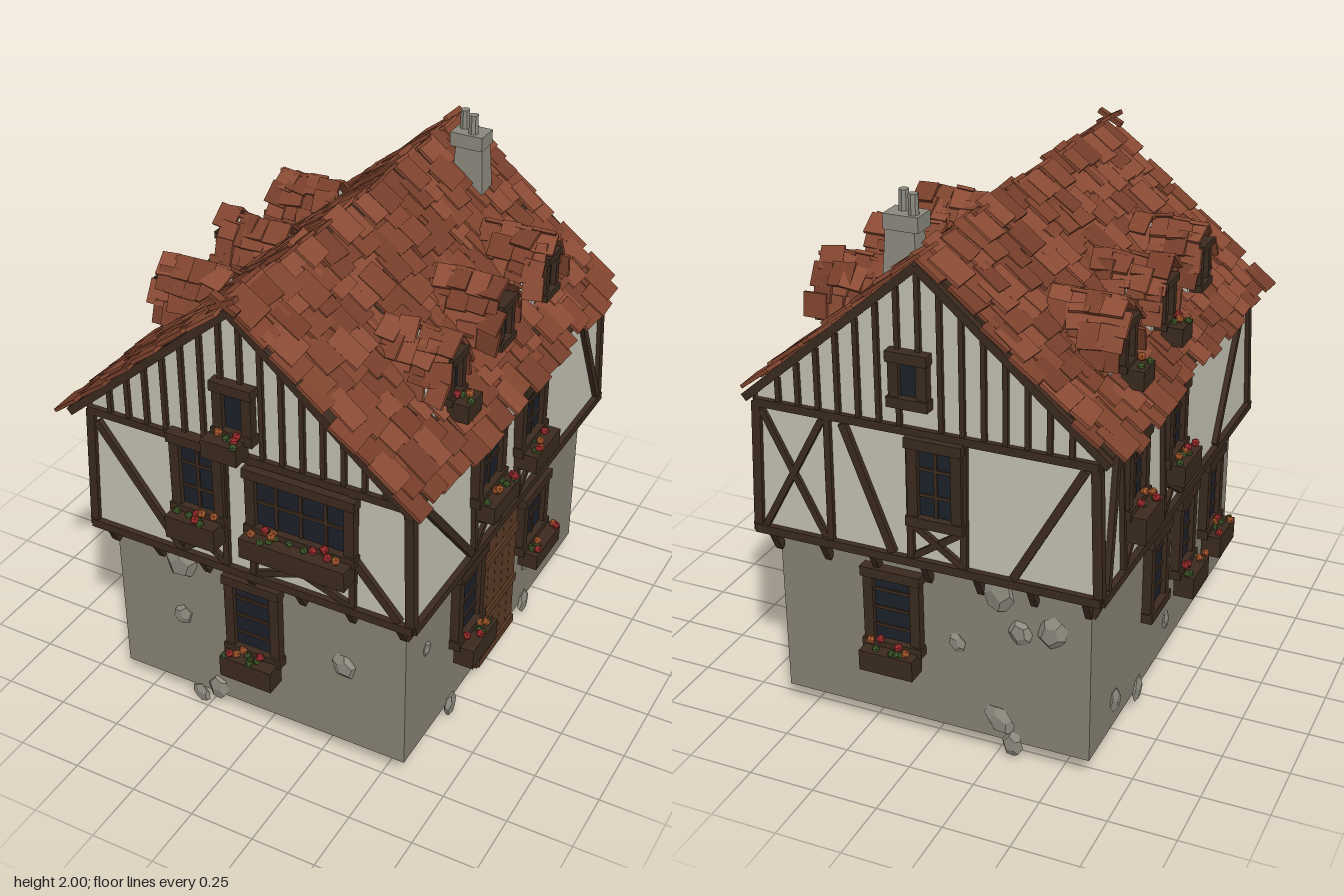
import * as THREE from 'three';
import { mergeGeometries } from 'three/addons/utils/BufferGeometryUtils.js';

const V = (x, y, z) => new THREE.Vector3(x, y, z);
const mat = (color, side = THREE.FrontSide) => new THREE.MeshStandardMaterial({ color, side, flatShading: true });
const M = {
  plaster: mat(0xc3c0b1, THREE.DoubleSide), masonry: mat(0x878274, THREE.DoubleSide), wood: mat(0x3b2a1e),
  door: mat(0x5a3a24), glass: mat(0x1c2129), rock: mat(0x8f8c80), chimney: mat(0x8b897e),
  leaf: mat(0x3f5a2a), red: mat(0xa02c2c), orange: mat(0xa8582c), tiles: [mat(0x80442e), mat(0x763e2a), mat(0x8c4c35)],
};
let seed = 7;
const rnd = (a = 0, b = 1) => {
  seed = (seed * 16807) % 2147483647;
  return a + (b - a) * seed / 2147483647;
};

// Wall outlines at each height: [left, right, back, front]
const LOW = [-0.61, 0.585, -0.815, 0.74], UP0 = [-0.655, 0.632, -0.865, 0.795], UP1 = [-0.635, 0.615, -0.855, 0.785];
const CX = -0.012, RIDGE = 1.85, SLOPE = 0.865, FLOOR = 0.77, EAVE = 1.26;
const SIDES = { front: [3, 0], back: [2, Math.PI], right: [1, Math.PI / 2], left: [0, -Math.PI / 2] };
const normal = (side) => V(0, 0, 1).applyAxisAngle(V(0, 1, 0), SIDES[side][1]);

// World point on a wall: u runs along world x (front, back) or z (left, right)
function onWall(side, u, y, out = 0) {
  const i = SIDES[side][0];
  const t = Math.min(1, (y - FLOOR) / (EAVE - FLOOR));
  const d = y < FLOOR - 0.03 ? LOW[i] : THREE.MathUtils.lerp(UP0[i], UP1[i], Math.max(0, t));
  return (i > 1 ? V(u, y, d) : V(d, y, u)).addScaledVector(normal(side), out);
}

export function createModel() {
  const root = new THREE.Group();
  root.name = 'house';
  const add = (parent, name, geo, material, x = 0, y = 0, z = 0) => {
    const m = new THREE.Mesh(geo, material);
    m.name = name;
    m.position.set(x, y, z);
    parent.add(m);
    return m;
  };
  const box = (parent, name, w, h, d, material, x, y, z) => add(parent, name, new THREE.BoxGeometry(w, h, d), material, x, y, z);
  const wallGroup = (name, side, u, y, out = 0) => {
    const g = new THREE.Group();
    g.name = name;
    g.position.copy(onWall(side, u, y, out));
    g.rotation.y = SIDES[side][1];
    root.add(g);
    return g;
  };
  // Timber from a to b, its depth along n
  const timber = (name, a, b, n, w = 0.03, d = 0.04, material = M.wood) => {
    const dir = b.clone().sub(a), len = dir.length();
    dir.normalize();
    const x = dir.clone().cross(n).normalize();
    const m = box(root, name, w, len, d, material, 0, 0, 0);
    m.quaternion.setFromRotationMatrix(new THREE.Matrix4().makeBasis(x, dir, x.clone().cross(dir)));
    m.position.copy(a).add(b).multiplyScalar(0.5);
  };
  const brace = (side, u0, y0, u1, y1, w, d) => timber('timber', onWall(side, u0, y0), onWall(side, u1, y1), normal(side), w, d);
  const cross = (side, u0, u1, y0, y1) => {
    brace(side, u0, y0, u1, y1, 0.024, 0.03);
    brace(side, u0, y1, u1, y0, 0.024, 0.034);
  };

  // Four walls between two outlines, open above and below
  const walls = (name, a, ya, b, yb, material) => {
    const ring = ([l, r, k, f], y) => [[l, y, f], [r, y, f], [r, y, k], [l, y, k]];
    const A = ring(a, ya), B = ring(b, yb), pos = [];
    for (let i = 0; i < 4; i++) {
      const j = (i + 1) % 4;
      for (const p of [A[i], A[j], B[j], A[i], B[j], B[i]]) pos.push(...p);
    }
    const g = new THREE.BufferGeometry();
    g.setAttribute('position', new THREE.Float32BufferAttribute(pos, 3));
    g.computeVertexNormals();
    add(root, name, g, material);
  };
  walls('lowerWalls', LOW, 0.08, LOW, 0.76, M.masonry);
  walls('overhang', LOW, 0.76, UP0, FLOOR, M.masonry);
  walls('upperWalls', UP0, FLOOR, UP1, EAVE, M.plaster);

  // Gables with studs that stop above the small window
  for (const side of ['front', 'back']) {
    const z = onWall(side, 0, EAVE).z, n = normal(side);
    const shape = new THREE.Shape([[-0.635, 1.26], [0.615, 1.26], [0.615, 1.3], [CX, RIDGE], [-0.635, 1.3]].map((p) => new THREE.Vector2(...p)));
    add(root, 'gable', new THREE.ShapeGeometry(shape), M.plaster, 0, 0, z);
    for (let i = -7; i <= 7; i++) {
      const x = CX + i * 0.077;
      timber('gableStud', V(x, i ? EAVE : 1.54, z), V(x, RIDGE - 0.02 - SLOPE * Math.abs(x - CX), z), n, 0.018, 0.03);
    }
    const zb = side === 'front' ? 0.845 : -0.865;
    for (const k of [-1, 1]) timber('bargeBoard', V(CX + k * 0.67, 1.27, zb), V(CX, RIDGE - 0.005, zb), n, 0.03, 0.025);
  }
  for (const k of [-1, 1]) timber('ridgeCross', V(CX + k * 0.05, 1.86, 0.865), V(CX - k * 0.045, 1.91, 0.865), V(0, 0, 1), 0.018, 0.03, M.tiles[1]);

  // Sill and top beams, corbels and corner posts
  for (const side in SIDES) {
    const [a, b] = SIDES[side][0] > 1 ? [UP0[0], UP0[1]] : [UP0[2], UP0[3]];
    brace(side, a - 0.01, FLOOR, b + 0.01, FLOOR, 0.032, 0.045);
    brace(side, a + 0.01, EAVE, b - 0.01, EAVE, 0.03, 0.04);
    const count = SIDES[side][0] > 1 ? 7 : 5;
    for (let i = 0; i < count; i++) {
      const u = THREE.MathUtils.lerp(a + 0.05, b - 0.05, i / (count - 1));
      timber('corbel', onWall(side, u, 0.675, 0.005), onWall(side, u, 0.765, 0), normal(side), 0.024, 0.028);
    }
  }
  for (const i of [0, 1]) for (const j of [2, 3]) {
    timber('cornerPost', V(UP0[i], FLOOR, UP0[j]), V(UP1[i], EAVE, UP1[j]), V(0, 0, 1), 0.034, 0.034);
  }

  // Diagonal braces, window posts and crosses of the upper storey
  const diagonals = {
    front: [[-0.61, 1.22, -0.28, 0.79], [0.42, 0.98, 0.59, 0.79]],
    right: [[0.73, 1.24, 0.35, 0.79], [-0.64, 1.24, -0.84, 0.79]],
    back: [[-0.6, 1.24, -0.35, 0.79], [0.28, 1.24, 0.1, 0.79]],
    left: [[0.7, 1.24, 0.35, 0.79], [-0.82, 0.79, -0.7, 1.24]],
  };
  const posts = { front: [-0.28, -0.09, 0.02, 0.41], right: [0.32, 0.115, -0.05, -0.25], back: [0.34, 0.03, -0.17], left: [-0.66, -0.46, -0.25, -0.05] };
  const crosses = { front: [[-0.28, -0.09], [0.02, 0.41]], right: [[0.32, 0.115], [-0.05, -0.25]], back: [[0.03, -0.17]], left: [[-0.66, -0.46], [-0.25, -0.05]] };
  for (const side in SIDES) {
    diagonals[side].forEach((d) => brace(side, ...d));
    posts[side].forEach((u) => brace(side, u, FLOOR, u, EAVE, 0.024, 0.036));
    crosses[side].forEach(([a, b]) => cross(side, a, b, 0.785, 0.92));
  }
  cross('back', 0.36, 0.6, 0.79, 1.24);

  // Window: frame, glass and glazing bars
  const makeWindow = (g, w, h, cols, rows, f = 0.038) => {
    box(g, 'glass', w - f, h - f, 0.03, M.glass, 0, 0, 0);
    for (const s of [-1, 1]) {
      box(g, 'frameSide', f, h, 0.06, M.wood, s * (w - f) / 2, 0, 0.005);
      box(g, 'frameRail', w + 0.012, f, 0.07, M.wood, 0, s * (h - f) / 2, 0.008);
    }
    for (let i = 1; i < cols; i++) box(g, 'bar', 0.012, h - f, 0.042, M.wood, (i / cols - 0.5) * (w - f), 0, 0);
    for (let i = 1; i < rows; i++) box(g, 'bar', w - f, 0.012, 0.042, M.wood, 0, (i / rows - 0.5) * (h - f), 0);
  };
  // Planter with leaves and blossoms; y is its top edge
  const makePlanter = (g, w, h, y, x0 = 0, z = 0.055) => {
    box(g, 'planter', w, h, 0.08, M.wood, x0, y - h / 2, z);
    for (let i = 0; i < Math.round(w * 40); i++) {
      const x = x0 + rnd(-0.42, 0.42) * w, bloom = i % 2;
      const m = add(g, bloom ? 'blossom' : 'leaf', new THREE.IcosahedronGeometry(bloom ? 0.017 : 0.015, 0),
        bloom ? (i % 4 === 1 ? M.red : M.orange) : M.leaf, x, y + (bloom ? rnd(0.012, 0.03) : 0.005), z + rnd(-0.02, 0.035));
      m.rotation.set(rnd(0, 3), rnd(0, 3), 0);
    }
  };
  // side, u, bottom, top, width, columns, rows, planter height, planter shift
  const windows = [
    ['front', -0.02, 0.35, 0.7, 0.225, 1, 4, 0.09], ['front', -0.19, 0.96, 1.29, 0.21, 2, 3, 0.09],
    ['front', 0.215, 0.97, 1.24, 0.42, 4, 2, 0.08], ['front', -0.035, 1.33, 1.55, 0.15, 1, 1, 0.07, -0.02],
    ['right', 0.27, 0.35, 0.7, 0.22, 1, 4, 0.085], ['right', -0.32, 0.39, 0.66, 0.24, 2, 2, 0.065],
    ['right', 0.22, 0.98, 1.24, 0.23, 2, 2, 0.07], ['right', -0.15, 0.97, 1.26, 0.23, 2, 3, 0.07],
    ['back', 0.13, 0.36, 0.69, 0.22, 1, 4, 0.08], ['back', -0.07, 0.92, 1.25, 0.2, 2, 3, 0], ['back', 0.02, 1.35, 1.55, 0.14, 1, 1, 0],
    ['left', -0.2, 0.35, 0.7, 0.2, 1, 4, 0], ['left', 0.12, 0.36, 0.7, 0.2, 1, 4, 0.09], ['left', 0.46, 0.36, 0.7, 0.2, 1, 4, 0.09],
    ['left', -0.56, 0.97, 1.25, 0.2, 2, 3, 0.1], ['left', -0.15, 0.97, 1.25, 0.2, 2, 3, 0.08],
  ];
  for (const [side, u, y0, y1, w, cols, rows, ph, shift] of windows) {
    const g = wallGroup('window', side, u, (y0 + y1) / 2);
    makeWindow(g, w, y1 - y0, cols, rows);
    if (ph) makePlanter(g, w - 0.01, ph, (y0 - y1) / 2 + 0.015, shift);
  }

  // Plank door with cross bands and a wedge step
  const door = wallGroup('door', 'right', -0.01, 0.39);
  for (let i = 0; i < 5; i++) box(door, 'plank', 0.063, 0.63 + (i % 2) * 0.012, 0.03, M.door, (i - 2) * 0.065, 0, 0);
  for (const y of [0.56, 0.31, 0.1]) box(door, 'band', 0.32, 0.035, 0.05, M.door, 0, y - 0.39, 0);
  const wedge = new THREE.Shape([[0, 0], [0.085, 0.085], [0, 0.085]].map((p) => new THREE.Vector2(...p)));
  add(root, 'doorStep', new THREE.ExtrudeGeometry(wedge, { depth: 0.35, bevelEnabled: false }), M.door, 0.505, 0, -0.185);

  // Flat lumpy stones set in the lower walls: u, y, radius
  const stones = {
    front: [[-0.33, 0.66, 0.075], [-0.34, 0.41, 0.045], [0.34, 0.44, 0.055], [-0.2, 0.11, 0.055], [-0.28, 0.05, 0.04]],
    right: [[0.58, 0.5, 0.03], [-0.46, 0.29, 0.08], [-0.31, 0.26, 0.03], [0.36, 0.06, 0.05], [-0.32, 0.07, 0.05]],
    back: [[-0.27, 0.69, 0.075], [-0.35, 0.54, 0.05], [-0.47, 0.57, 0.06], [-0.11, 0.44, 0.04], [-0.27, 0.16, 0.06], [-0.32, 0.07, 0.05]],
    left: [[-0.57, 0.18, 0.05], [-0.33, 0.08, 0.05], [0.64, 0.66, 0.06], [0.65, 0.3, 0.05], [-0.02, 0.2, 0.035]],
  };
  for (const side in stones) for (const [u, y, r] of stones[side]) {
    const g = wallGroup('wallStone', side, u, y, 0.002);
    const turned = new THREE.DodecahedronGeometry(r, 0).rotateX(rnd(0, 3)).rotateY(rnd(0, 3));
    const m = add(g, 'stone', turned, M.rock);
    m.scale.set(rnd(0.8, 0.95), rnd(1, 1.2), 0.32);
    m.rotation.z = rnd(-0.8, 0.8);
  }

  // Roof boards and jittered overlapping tiles
  const batches = [[], [], []];
  const tile = (l, t, w, matrix) => batches[Math.floor(rnd(0, 2.999))].push(new THREE.BoxGeometry(l, t, w).applyMatrix4(matrix));
  const ang = Math.atan(SLOPE), len = 0.66 / Math.cos(ang);
  for (const s of [-1, 1]) {
    const down = V(s * Math.cos(ang), -Math.sin(ang), 0), n = V(s * Math.sin(ang), Math.cos(ang), 0);
    const basis = new THREE.Matrix4().makeBasis(down, n, V(0, 0, s));
    const at = (t, h, z) => basis.clone().setPosition(V(CX, RIDGE, z).addScaledVector(down, t).addScaledVector(n, h));
    add(root, 'roofBoards', new THREE.BoxGeometry(len, 0.02, 1.68).applyMatrix4(at(len / 2, 0.002, 0)), M.wood);
    for (let r = 0; r < 12; r++) {
      for (let c = 0; c < 17; c++) {
        const z = -0.81 + c * 0.101 + (r % 2 ? 0.018 : -0.018) + rnd(-0.02, 0.02);
        const m = at(r * 0.0745 + 0.03 + rnd(-0.025, 0.02), 0.02 + rnd(0, 0.014), z);
        m.multiply(new THREE.Matrix4().makeRotationFromEuler(new THREE.Euler(rnd(-0.05, 0.05), rnd(-0.07, 0.07), 0.07)));
        tile(rnd(0.115, 0.135), 0.013, rnd(0.085, 0.13), m);
      }
    }
  }

  // Pointed dormers with ragged tiled hoods
  for (const side of ['right', 'left']) [0.365, -0.035, -0.435].forEach((z, k) => {
    const g = wallGroup('dormer', side, z - (side === 'left' ? 0.015 : 0), 1.4, -0.08);
    const arch = new THREE.Shape();
    arch.moveTo(-0.092, -0.01).lineTo(-0.092, 0.06).quadraticCurveTo(-0.08, 0.2, 0, 0.255);
    arch.quadraticCurveTo(0.08, 0.2, 0.092, 0.06).lineTo(0.092, -0.01);
    add(g, 'dormerFront', new THREE.ExtrudeGeometry(arch, { depth: 0.22, bevelEnabled: false }), M.plaster, 0, 0, -0.22);
    const w = new THREE.Group();
    w.name = 'dormerWindow';
    w.position.set(0, 0.12, 0.005);
    g.add(w);
    makeWindow(w, 0.115, 0.18, 1, 1, 0.028);
    if (side === 'right' ? k === 0 : k !== 0) makePlanter(w, 0.11, 0.07, -0.075, 0, 0.06);
    g.updateMatrixWorld(true);
    const curve = new THREE.QuadraticBezierCurve(new THREE.Vector2(0.105, 0.06), new THREE.Vector2(0.09, 0.2), new THREE.Vector2(0, 0.265));
    for (const s of [-1, 1]) for (let i = 0; i < 4; i++) for (let j = 0; j < 4; j++) {
      const p = curve.getPoint(0.12 + i * 0.25), d = curve.getTangent(0.12 + i * 0.25);
      const lift = rnd(-0.25, 0.1);
      const m = new THREE.Matrix4().makeRotationFromEuler(new THREE.Euler(rnd(-0.12, 0.12), rnd(-0.2, 0.2), s * (Math.atan2(d.y, d.x) - lift)));
      m.setPosition(s * (p.x + rnd(0, 0.014)), p.y + rnd(0, 0.016), -j * 0.066 + rnd(-0.015, 0.015));
      tile(0.09, 0.013, rnd(0.07, 0.095), m.premultiply(g.matrixWorld));
    }
  });
  batches.forEach((b, i) => add(root, 'roofTiles', mergeGeometries(b), M.tiles[i]));

  // Chimney with cap and two pots
  const chimney = new THREE.Group();
  chimney.name = 'chimney';
  chimney.position.set(0.145, 0, -0.615);
  root.add(chimney);
  const stack = add(chimney, 'stack', new THREE.CylinderGeometry(0.075, 0.095, 0.23, 4).rotateY(Math.PI / 4), M.chimney, 0.008, 1.77, 0);
  stack.scale.z = 0.7;
  box(chimney, 'cap', 0.13, 0.055, 0.095, M.chimney, 0, 1.9, 0);
  for (const s of [-1, 1]) add(chimney, 'pot', new THREE.CylinderGeometry(0.018, 0.02, 0.08, 8), M.chimney, s * 0.025 - 0.01, 1.96, s * 0.016);
  return root;
}
